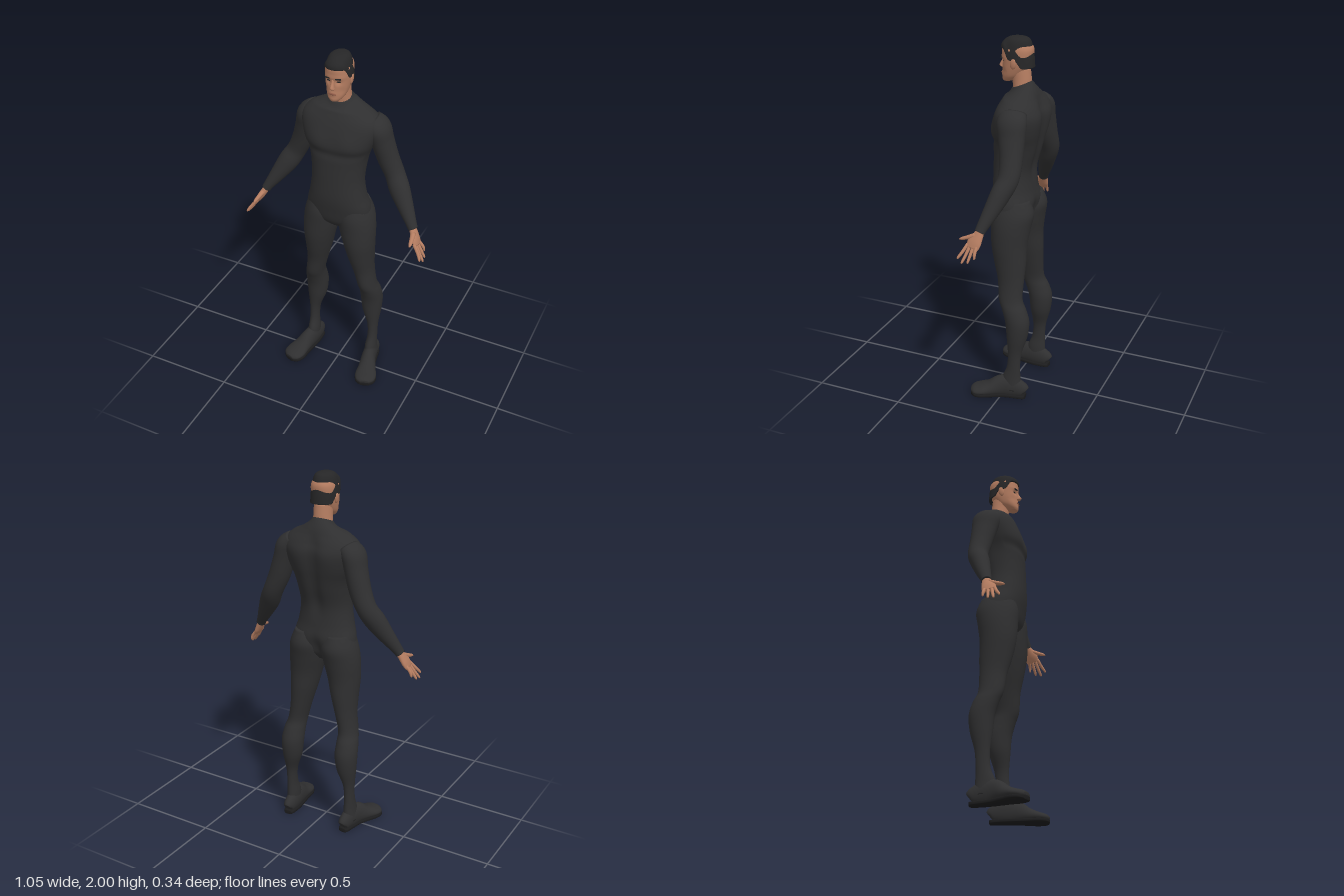
import * as THREE from 'three';

const material = (name, color) => Object.assign(new THREE.MeshStandardMaterial({ color }), { name });
const suit = material('suit', 0x2f2f30);
const sole = material('sole', 0x1c1c1d);
const skin = material('skin', 0xb57d61);
const lip = material('lip', 0x8f5a48);
const hair = material('hair', 0x262627);

const spline = (a, b, c, d, t) => 0.5 * (2 * b + (c - a) * t
  + (2 * a - 5 * b + 4 * c - d) * t * t + (3 * b - a - 3 * c + d) * t * t * t);
const bump = (v, centre, width) => Math.exp(-(((v - centre) / width) ** 2));
const smooth = THREE.MathUtils.smoothstep;

// Skin over oval sections [x, y, z, radiusA, radiusB, squareness].
// Without ref the rings stay level (listed top to bottom); with ref they turn with the path.
function loft(sections, { n = 32, sub = 5, ref = null, shape = null } = {}) {
  const rows = sections.map(s => (s.length < 6 ? [...s, 2] : s));
  const at = i => rows[THREE.MathUtils.clamp(i, 0, rows.length - 1)];
  const rings = [];
  for (let i = 0; i < rows.length - 1; i++)
    for (let k = 0; k < sub; k++)
      rings.push(rows[i].map((_, c) => spline(at(i - 1)[c], at(i)[c], at(i + 1)[c], at(i + 2)[c], k / sub)));
  rings.push(rows[rows.length - 1]);

  const centres = rings.map(r => new THREE.Vector3(r[0], r[1], r[2]));
  const pos = [], index = [];
  const add = p => { if (shape) shape(p); pos.push(p.x, p.y, p.z); };
  rings.forEach(([, , , a, b, e], i) => {
    let U = new THREE.Vector3(1, 0, 0), W = new THREE.Vector3(0, 0, 1);
    if (ref) {
      const t = centres[Math.min(i + 1, rings.length - 1)].clone().sub(centres[Math.max(i - 1, 0)]).normalize();
      W = ref.clone().addScaledVector(t, -ref.dot(t)).normalize();
      U = W.clone().cross(t);
    }
    for (let j = 0; j < n; j++) {
      const th = (j / n) * Math.PI * 2, c = Math.cos(th), s = Math.sin(th);
      add(centres[i].clone()
        .addScaledVector(U, a * Math.sign(c) * Math.abs(c) ** (2 / e))
        .addScaledVector(W, b * Math.sign(s) * Math.abs(s) ** (2 / e)));
    }
  });
  const last = (rings.length - 1) * n, first = rings.length * n;
  add(centres[0].clone());
  add(centres[centres.length - 1].clone());
  for (let j = 0; j < n; j++) {
    const k = (j + 1) % n;
    for (let r = 0; r < last; r += n)
      index.push(r + j, r + k, r + n + j, r + k, r + n + k, r + n + j);
    index.push(first, k, j, first + 1, last + j, last + k);
  }
  const g = new THREE.BufferGeometry();
  g.setAttribute('position', new THREE.Float32BufferAttribute(pos, 3));
  g.setIndex(index);
  g.computeVertexNormals();
  return g;
}

// Mirror a geometry across x, keeping its faces outward
function mirrored(geometry) {
  const g = geometry.clone().scale(-1, 1, 1), ix = g.index.array;
  for (let i = 0; i < ix.length; i += 3) [ix[i], ix[i + 1]] = [ix[i + 1], ix[i]];
  return g;
}

const X = new THREE.Vector3(1, 0, 0), Y = new THREE.Vector3(0, 1, 0), Z = new THREE.Vector3(0, 0, 1);

export function createModel() {
  const model = new THREE.Group();
  model.name = 'standingMan';
  const put = (name, geometry, mat) => {
    const mesh = new THREE.Mesh(geometry, mat);
    mesh.name = name;
    model.add(mesh);
  };
  const pair = (name, geometry, mat) => {
    put('left' + name, geometry, mat);
    put('right' + name, mirrored(geometry), mat);
  };

  // Torso with chest, spine groove and a collar that rises at the back
  put('torso', loft([
    [0, 1.755, -0.035, 0.055, 0.05], [0, 1.735, -0.035, 0.072, 0.065],
    [0, 1.71, -0.038, 0.12, 0.082], [0, 1.69, -0.04, 0.165, 0.092],
    [0, 1.65, -0.04, 0.205, 0.11, 2.3], [0, 1.6, -0.038, 0.213, 0.125, 2.4],
    [0, 1.52, -0.025, 0.188, 0.13, 2.5], [0, 1.46, -0.02, 0.163, 0.123, 2.4],
    [0, 1.4, -0.013, 0.15, 0.117, 2.3], [0, 1.3, 0.001, 0.143, 0.107, 2.2],
    [0, 1.2, 0, 0.157, 0.109, 2.2], [0, 1.12, -0.012, 0.178, 0.11, 2.2],
    [0, 1.04, -0.012, 0.17, 0.092], [0, 0.99, -0.01, 0.08, 0.045],
  ], {
    n: 64, shape: p => {
      const x = Math.abs(p.x);
      if (p.z < -0.05) p.z += 0.016 * bump(p.x, 0, 0.035) * smooth(p.y, 1.2, 1.35) * (1 - smooth(p.y, 1.64, 1.72))
        - 0.006 * bump(x, 0.09, 0.05) * bump(p.y, 1.58, 0.07) + 0.02 * bump(p.x, 0, 0.03) * bump(p.y, 1.07, 0.06);
      if (p.z > 0.03) p.z += 0.006 * bump(x, 0.08, 0.05) * bump(p.y, 1.55, 0.05)
        - 0.007 * bump(p.y, 1.475, 0.025);
      p.y -= (p.z + 0.035) * 0.4 * smooth(p.y, 1.69, 1.75);
    },
  }), suit);

  // Legs
  pair('Leg', loft([
    [0.095, 1.15, -0.02, 0.068, 0.095], [0.095, 1.08, -0.024, 0.096, 0.115],
    [0.105, 1.0, -0.018, 0.1, 0.108], [0.118, 0.9, -0.013, 0.088, 0.098],
    [0.128, 0.8, -0.022, 0.073, 0.088], [0.142, 0.7, -0.032, 0.058, 0.073],
    [0.161, 0.6, -0.038, 0.052, 0.067], [0.17, 0.54, -0.062, 0.058, 0.068],
    [0.173, 0.47, -0.082, 0.062, 0.067], [0.176, 0.38, -0.082, 0.054, 0.058],
    [0.187, 0.28, -0.073, 0.031, 0.039], [0.189, 0.19, -0.067, 0.027, 0.038],
    [0.187, 0.12, -0.055, 0.032, 0.052], [0.19, 0.05, -0.055, 0.035, 0.056],
  ]), suit);

  // Feet, turned slightly outward, over flat dark soles
  const foot = [
    [0.182, 0.042, -0.135, 0.018, 0.026], [0.183, 0.05, -0.12, 0.03, 0.045],
    [0.187, 0.06, -0.06, 0.037, 0.065], [0.197, 0.06, 0, 0.041, 0.063],
    [0.215, 0.042, 0.06, 0.051, 0.042], [0.229, 0.032, 0.11, 0.061, 0.03],
    [0.24, 0.027, 0.148, 0.052, 0.023], [0.246, 0.025, 0.167, 0.026, 0.012],
  ];
  pair('Foot', loft(foot, { ref: Y, shape: p => { p.y = Math.max(p.y, 0.012); } }), suit);
  pair('Sole', loft(foot.map(([x, , z, a]) => [x, 0.011, z, a * 1.03, 0.011, 4]),
    { ref: Y, shape: p => { p.y = THREE.MathUtils.clamp(p.y, 0, 0.022); } }), sole);

  // Arms
  pair('Arm', loft([
    [0.16, 1.64, -0.055, 0.045, 0.07], [0.195, 1.6, -0.06, 0.06, 0.079],
    [0.215, 1.53, -0.068, 0.058, 0.07], [0.245, 1.43, -0.078, 0.057, 0.06],
    [0.285, 1.34, -0.08, 0.053, 0.055], [0.325, 1.27, -0.055, 0.056, 0.051],
    [0.375, 1.19, -0.025, 0.043, 0.041], [0.42, 1.12, 0.003, 0.029, 0.03],
    [0.436, 1.093, 0.012, 0.026, 0.027],
  ], { ref: Z }), suit);

  // Hands with spread fingers
  pair('Palm', loft([
    [0.428, 1.105, 0.008, 0.019, 0.021], [0.445, 1.075, 0.018, 0.018, 0.029],
    [0.461, 1.045, 0.03, 0.016, 0.038], [0.475, 1.018, 0.038, 0.01, 0.035],
  ], { n: 20, ref: Z }), skin);
  const fingers = [
    ['IndexFinger', 0.064, 0.515, 0.965, 0.1], ['MiddleFinger', 0.048, 0.523, 0.948, 0.074],
    ['RingFinger', 0.03, 0.52, 0.952, 0.044], ['LittleFinger', 0.013, 0.507, 0.972, 0.014],
  ];
  for (const [name, z, tx, ty, tz] of fingers)
    pair(name, loft([
      [0.466, 1.034, z, 0.009, 0.009], [0.496, (1.03 + ty) / 2, (z + tz) / 2, 0.0085, 0.0085],
      [tx - 0.003, ty + 0.008, tz - 0.002, 0.0065, 0.0065], [tx, ty, tz, 0.003, 0.003],
    ], { n: 10, sub: 3, ref: X }), skin);
  pair('Thumb', loft([
    [0.446, 1.08, 0.03, 0.013, 0.015], [0.453, 1.065, 0.068, 0.011, 0.012],
    [0.458, 1.055, 0.1, 0.008, 0.009], [0.46, 1.05, 0.114, 0.003, 0.004],
  ], { n: 12, sub: 3, ref: X }), skin);

  // Neck and head, with sunken eye sockets and a brow ridge
  put('neck', loft([
    [0, 1.84, -0.028, 0.05, 0.05], [0, 1.78, -0.035, 0.05, 0.05], [0, 1.72, -0.04, 0.054, 0.048],
  ]), skin);
  put('head', loft([
    [0, 1.985, -0.012, 0.025, 0.035], [0, 1.97, -0.013, 0.048, 0.063],
    [0, 1.94, -0.013, 0.064, 0.082, 2.2], [0, 1.9, -0.012, 0.066, 0.081, 2.3],
    [0, 1.86, -0.009, 0.063, 0.077, 2.3], [0, 1.83, 0, 0.058, 0.069, 2.3],
    [0, 1.8, 0.013, 0.05, 0.057, 2.2], [0, 1.78, 0.03, 0.038, 0.042],
    [0, 1.766, 0.045, 0.022, 0.022],
  ], {
    n: 64, shape: p => {
      if (p.z < 0.03) return;
      const x = Math.abs(p.x);
      p.z += -0.01 * bump(x, 0.027, 0.014) * bump(p.y, 1.874, 0.013)
        + 0.003 * bump(p.y, 1.896, 0.01) - 0.004 * bump(x, 0.042, 0.014) * bump(p.y, 1.825, 0.02)
        + 0.004 * bump(p.x, 0, 0.02) * bump(p.y, 1.808, 0.012);
    },
  }), skin);
  put('nose', loft([
    [0, 1.888, 0.062, 0.007, 0.007], [0, 1.865, 0.067, 0.008, 0.012],
    [0, 1.846, 0.073, 0.011, 0.017], [0, 1.837, 0.071, 0.014, 0.014], [0, 1.832, 0.067, 0.008, 0.008],
  ], { n: 16, sub: 3 }), skin);
  put('mouth', new THREE.SphereGeometry(1, 20, 10).scale(0.02, 0.006, 0.005).translate(0, 1.809, 0.071), lip);
  pair('Eye', new THREE.SphereGeometry(1, 16, 8).scale(0.011, 0.004, 0.004).rotateY(0.25)
    .translate(0.027, 1.874, 0.056), hair);
  pair('Brow', new THREE.BoxGeometry(0.028, 0.006, 0.006).rotateZ(-0.05).rotateY(0.28)
    .translate(0.028, 1.892, 0.066), hair);
  pair('Ear', new THREE.SphereGeometry(1, 16, 12).scale(0.008, 0.028, 0.016).rotateX(-0.15).rotateZ(-0.12)
    .translate(0.066, 1.868, -0.012), skin);

  // Short hair: the rim drops from the forehead to the nape
  put('hair', loft([
    [0, 2.0, -0.015, 0.012, 0.015], [0, 1.995, -0.015, 0.035, 0.045],
    [0, 1.98, -0.014, 0.055, 0.07], [0, 1.96, -0.013, 0.067, 0.085, 2.1],
    [0, 1.94, -0.013, 0.07, 0.088, 2.2],
  ], {
    n: 64, shape: p => {
      const drop = 0.055 * (1 - smooth(p.z, 0.01, 0.05)) + 0.04 * (1 - smooth(p.z, -0.06, -0.02));
      p.y -= drop * (1 - smooth(p.y, 1.94, 1.99));
    },
  }), hair);

  return model;
}
